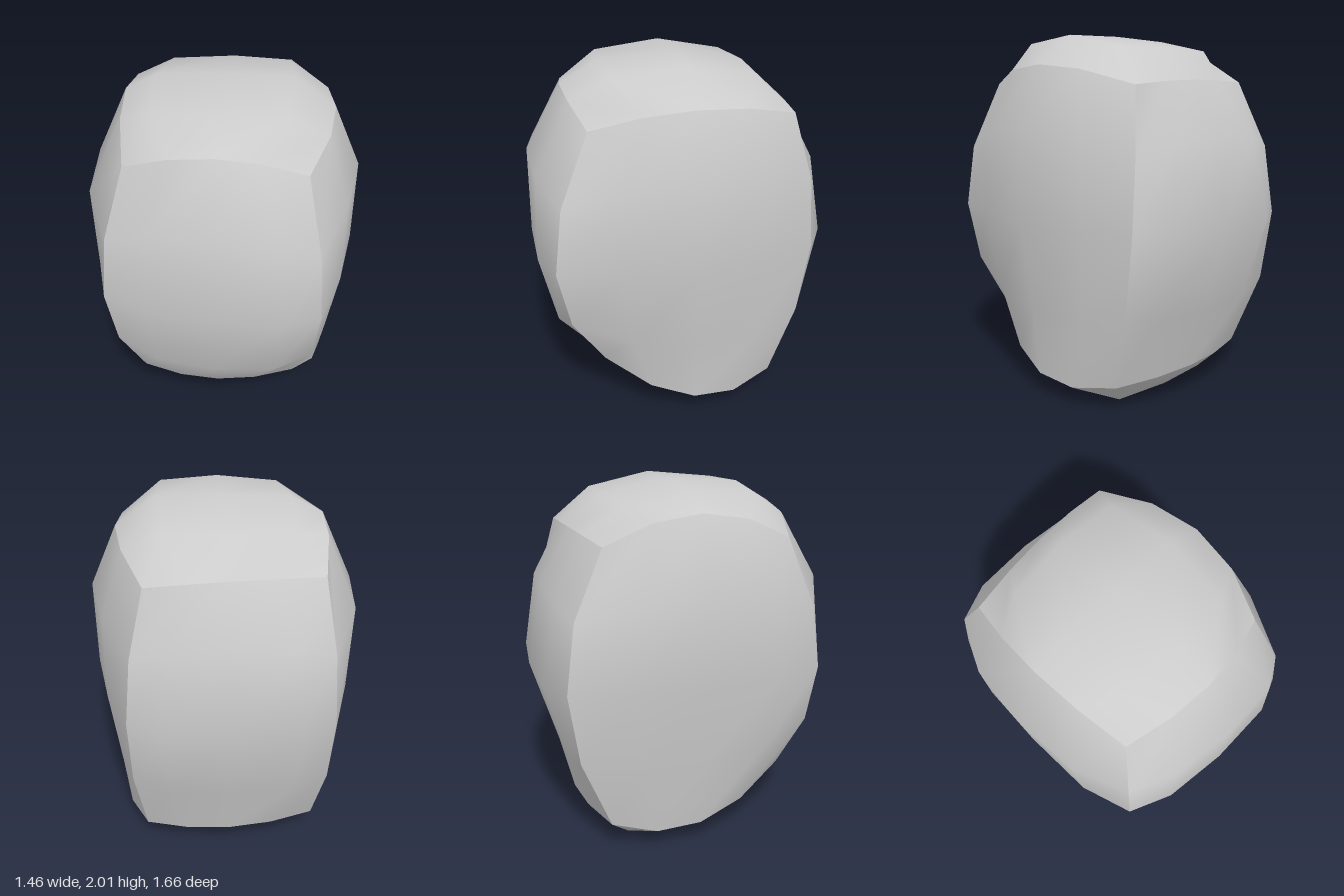
import * as THREE from 'three';

// Three outlines of the stone, 16 points each, clockwise from the upper left corner
const frontRing = [ // x, y at z = 0
  [-0.55, 1.89], [-0.38, 1.98], [0, 2], [0.36, 2], [0.58, 1.84], [0.73, 1.5], [0.73, 1], [0.65, 0.5],
  [0.61, 0.12], [0.36, 0.03], [0, 0.06], [-0.36, 0.04], [-0.58, 0.13], [-0.64, 0.55], [-0.69, 1], [-0.73, 1.5],
];
const sideRing = [ // z, y at x = 0
  [-0.57, 1.76], [-0.4, 1.93], [0, 2], [0.42, 1.97], [0.62, 1.85], [0.82, 1.5], [0.83, 1], [0.74, 0.56],
  [0.55, 0.28], [0.38, 0.2], [0, 0.06], [-0.4, 0], [-0.6, 0.17], [-0.68, 0.5], [-0.83, 1], [-0.74, 1.46],
];
const levelRing = [ // x, z at half height
  [-0.59, 0.69], [-0.36, 0.79], [0, 0.83], [0.38, 0.82], [0.57, 0.74], [0.67, 0.4], [0.73, 0], [0.66, -0.4],
  [0.55, -0.67], [0.36, -0.79], [0, -0.83], [-0.37, -0.82], [-0.55, -0.73], [-0.67, -0.38], [-0.69, 0], [-0.68, 0.41],
];
// The eight corners: cube sign, then position
const corners = [
  [[1, 1, 1], [0.46, 1.73, 0.53]], [[-1, 1, 1], [-0.47, 1.72, 0.53]],
  [[1, 1, -1], [0.43, 1.74, -0.57]], [[-1, 1, -1], [-0.49, 1.74, -0.51]],
  [[1, -1, 1], [0.44, 0.35, 0.49]], [[-1, -1, 1], [-0.43, 0.35, 0.54]],
  [[1, -1, -1], [0.48, 0.14, -0.49]], [[-1, -1, -1], [-0.5, 0.17, -0.5]],
];

// Cube grid position of each outline point
function perimeter(i) {
  const t = (i % 4) / 2 - 1;
  return [[t, 1], [1, -t], [-t, -1], [-1, t]][Math.floor(i / 4)];
}

// Known points of the cube grid, keyed by grid position
function knownPoints() {
  const known = new Map();
  const set = (grid, pos) => known.set(grid.join(), new THREE.Vector3(...pos));
  for (let i = 0; i < 16; i++) {
    const [u, v] = perimeter(i);
    set([u, v, 0], [...frontRing[i], 0]);
    set([0, v, u], [0, sideRing[i][1], sideRing[i][0]]);
    set([u, 0, v], [levelRing[i][0], 1, levelRing[i][1]]);
  }
  for (const [grid, pos] of corners) set(grid, pos);
  return known;
}

// Quadratic weights for the grid values -1, 0 and 1
const weight = (node, t) => (node === 0 ? 1 - t * t : (t * (t + node)) / 2);

// Moves a cube grid point onto the surface that runs through the outlines and corners
function place(grid, known) {
  const a = grid.findIndex((c) => Math.abs(c) === 1);
  const [b, c] = [0, 1, 2].filter((k) => k !== a);
  const at = (u, v) => {
    const g = [...grid];
    g[b] = u;
    g[c] = v;
    return known.get(g.join());
  };
  const smooth = (u, v) => {
    const p = new THREE.Vector3();
    for (const i of [-1, 0, 1])
      for (const j of [-1, 0, 1]) p.addScaledVector(at(i, j), weight(i, u) * weight(j, v));
    return p;
  };
  const u = grid[b];
  const v = grid[c];
  return smooth(u, v)
    .addScaledVector(at(u, 0).clone().sub(smooth(u, 0)), 1 - v * v)
    .addScaledVector(at(0, v).clone().sub(smooth(0, v)), 1 - u * u);
}

export function createModel() {
  const group = new THREE.Group();
  group.name = 'boulder';

  // Each cube side keeps its own vertices, so sides are smooth and edges stay sharp
  const geometry = new THREE.BoxGeometry(2, 2, 2, 4, 4, 4);
  const position = geometry.attributes.position;
  const known = knownPoints();
  for (let i = 0; i < position.count; i++) {
    const grid = [position.getX(i), position.getY(i), position.getZ(i)];
    const p = place(grid, known);
    position.setXYZ(i, p.x, p.y, p.z);
  }
  geometry.computeVertexNormals();

  const stone = new THREE.Mesh(geometry, new THREE.MeshStandardMaterial({ color: 0xcccccc }));
  stone.name = 'stone';
  group.add(stone);
  return group;
}
